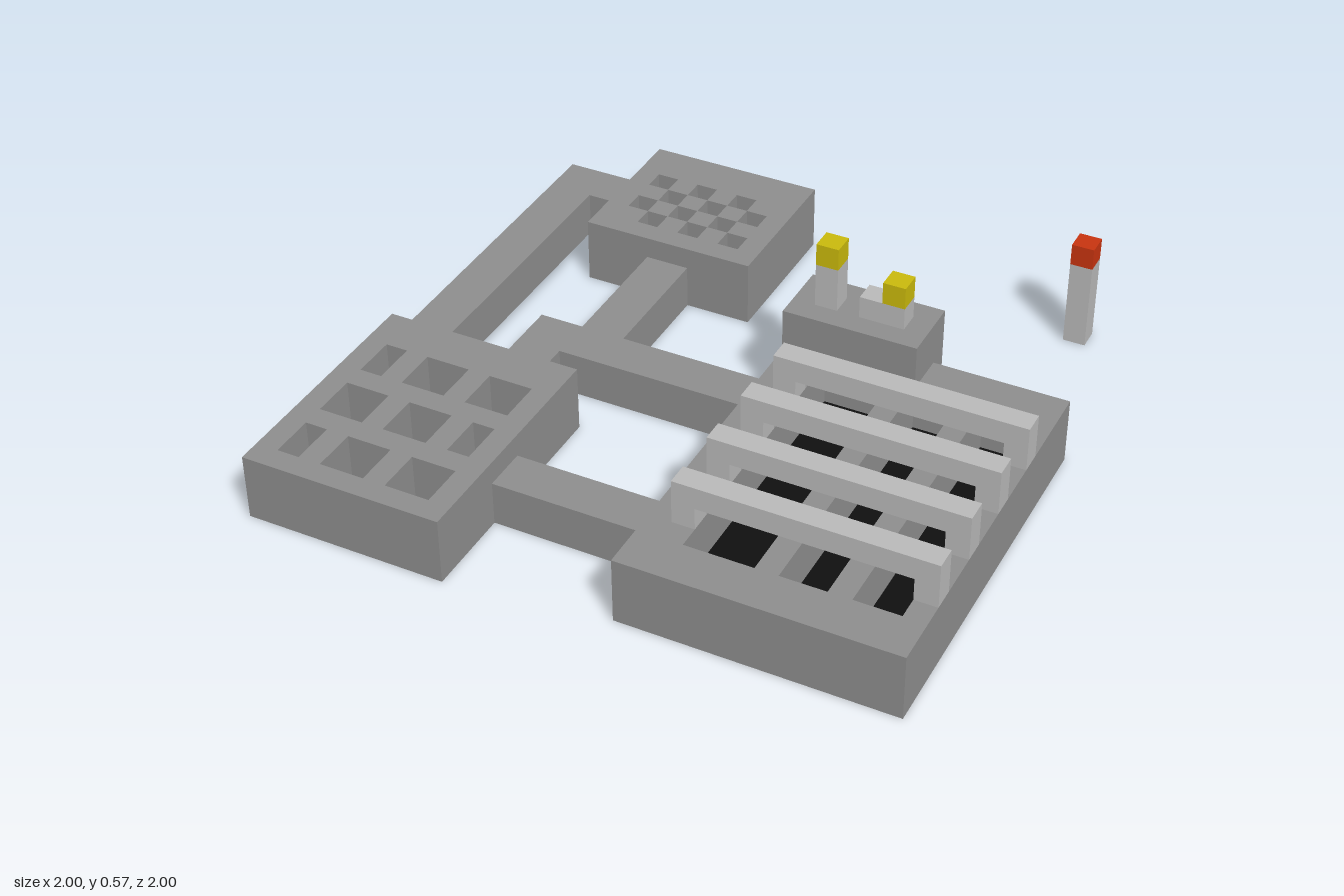
import * as THREE from 'three';

const U = 2 / 28; // one grid cell; plan coordinates run 0..28 on x and z

const mat = (name, color) => {
  const m = new THREE.MeshStandardMaterial({ color });
  m.name = name;
  return m;
};

export function createModel() {
  const root = new THREE.Group();
  root.name = 'baseStation';
  const hull = mat('hullGrey', 0x8e8e8e);
  const light = mat('lightGrey', 0xbababa);
  const black = mat('black', 0x101010);
  const yellow = mat('yellow', 0xcaba0c);
  const red = mat('red', 0xc83410);
  const green = mat('green', 0x0cb414);

  const add = (name, geo, material, parent = root) => {
    const mesh = new THREE.Mesh(geo, material);
    mesh.name = name;
    parent.add(mesh);
    return mesh;
  };

  // Box between two corners in grid cells
  const box = (name, material, x0, x1, y0, y1, z0, z1, parent) => {
    const geo = new THREE.BoxGeometry((x1 - x0) * U, (y1 - y0) * U, (z1 - z0) * U);
    geo.translate(((x0 + x1) / 2 - 14) * U, ((y0 + y1) / 2) * U, ((z0 + z1) / 2 - 14) * U);
    return add(name, geo, material, parent);
  };

  // Plan rectangle; a small inset keeps diagonal neighbours apart
  const rect = (x0, x1, z0, z1, e = 0) =>
    [[x0 + e, z0 + e], [x1 - e, z0 + e], [x1 - e, z1 - e], [x0 + e, z1 - e]];
  const points = (plan) => plan.map(([x, z]) => new THREE.Vector2((x - 14) * U, (z - 14) * U));

  // Horizontal slab with cut-outs, from y0 to y1
  const slab = (name, material, outline, holes, y0, y1, parent) => {
    const shape = new THREE.Shape(points(outline));
    holes.forEach((h) => shape.holes.push(new THREE.Path(points(h))));
    const geo = new THREE.ExtrudeGeometry(shape, { depth: (y1 - y0) * U, bevelEnabled: false });
    geo.rotateX(Math.PI / 2);
    geo.translate(0, y1 * U, 0);
    return add(name, geo, material, parent);
  };

  // Building: perforated upper body, base frame and black floor panels
  const building = (name, outline, openings, floors) => {
    const g = new THREE.Group();
    g.name = name;
    root.add(g);
    slab('body', hull, outline, openings, 1, 3, g);
    slab('baseFrame', hull, outline, floors, 0, 1, g);
    floors.forEach((f) => slab('floorPanel', black, f, [], 0, 1, g));
    return g;
  };

  // Front right-hand block with nine roof openings
  const wide = [[1, 2], [3, 5], [6, 8]];
  const shifted = [[1, 3], [4, 6], [7, 8]];
  const windows = [];
  [[19, wide], [22, shifted], [25, wide]].forEach(([z, row]) =>
    row.forEach(([a, b]) => windows.push(rect(a, b, z, z + 2))));
  building('windowBlock', rect(0, 9, 17, 28), windows, [rect(1, 8, 19, 27)]);

  // Rear block with a chequered roof
  const checks = [];
  for (let z = 2; z < 6; z++) {
    for (let i = 0; i < 3; i++) {
      const x = 5 + 2 * i + (z % 2);
      checks.push(rect(x, x + 1, z, z + 1, 0.005));
    }
  }
  const rear = building('chequeredBlock', rect(4, 12, 0, 7), checks,
    [[[5, 2], [6, 2], [6, 3], [7, 3], [7, 2], [11, 2], [11, 6], [5, 6]]]);
  box('yellowStripe', yellow, 7, 11, 1, 2, -0.04, 0.02, rear);
  box('yellowLamp', yellow, 5, 6, 1, 2, -0.04, 0.02, rear);

  // Hangar with three long slots
  const slots = [[18, 21], [22, 24], [25, 27]].map(([a, b]) => rect(a, b, 12, 25));
  const hangar = building('hangar', rect(16, 28, 10, 27), slots, slots);

  // Gantries bridging the slots
  for (const z of [14, 17, 20, 23]) {
    box('gantryBeam', light, 17, 28, 4, 5, z, z + 1, hangar);
    box('gantryLeg', light, 17, 18, 3, 4, z, z + 1, hangar);
    box('gantryLeg', light, 27, 28, 3, 4, z, z + 1, hangar);
  }

  // Control tower with indicator strips on its rear face
  const tower = new THREE.Group();
  tower.name = 'controlTower';
  root.add(tower);
  box('towerBody', hull, 16, 22, 0, 5, 9, 12, tower);
  [[green, 18, 21, 3], [red, 17, 18, 3], [green, 20, 21, 1], [red, 19, 20, 1], [green, 17, 19, 1]]
    .forEach(([m, a, b, y]) => box('indicator', m, a, b, y, y + 1, 8.96, 9.02, tower));
  box('tallChimney', light, 17, 18, 5, 7, 10, 11, tower);
  box('tallChimneyCap', yellow, 17, 18, 7, 8, 10, 11, tower);
  box('shortChimney', light, 19, 21, 5, 6, 10, 11, tower);
  box('shortChimneyCap', yellow, 20, 21, 6, 7, 10, 11, tower);

  // Low corridors on the ground
  box('rearCorridor', hull, 7, 9, 0, 2, 7, 13);
  box('crossCorridor', hull, 5, 16, 0, 2, 13, 15);
  box('shortCorridor', hull, 5, 7, 0, 2, 15, 17);
  box('frontCorridor', hull, 9, 16, 0, 2, 22, 24);

  // Raised corridor along the side
  slab('raisedCorridor', hull, [[1, 3], [4, 3], [4, 5], [3, 5], [3, 17], [1, 17]], [], 1, 3);

  // Free-standing beacon
  box('beaconPost', light, 25, 26, 0, 4, 1, 2);
  box('beaconLamp', red, 25, 26, 4, 5, 1, 2);

  return root;
}
